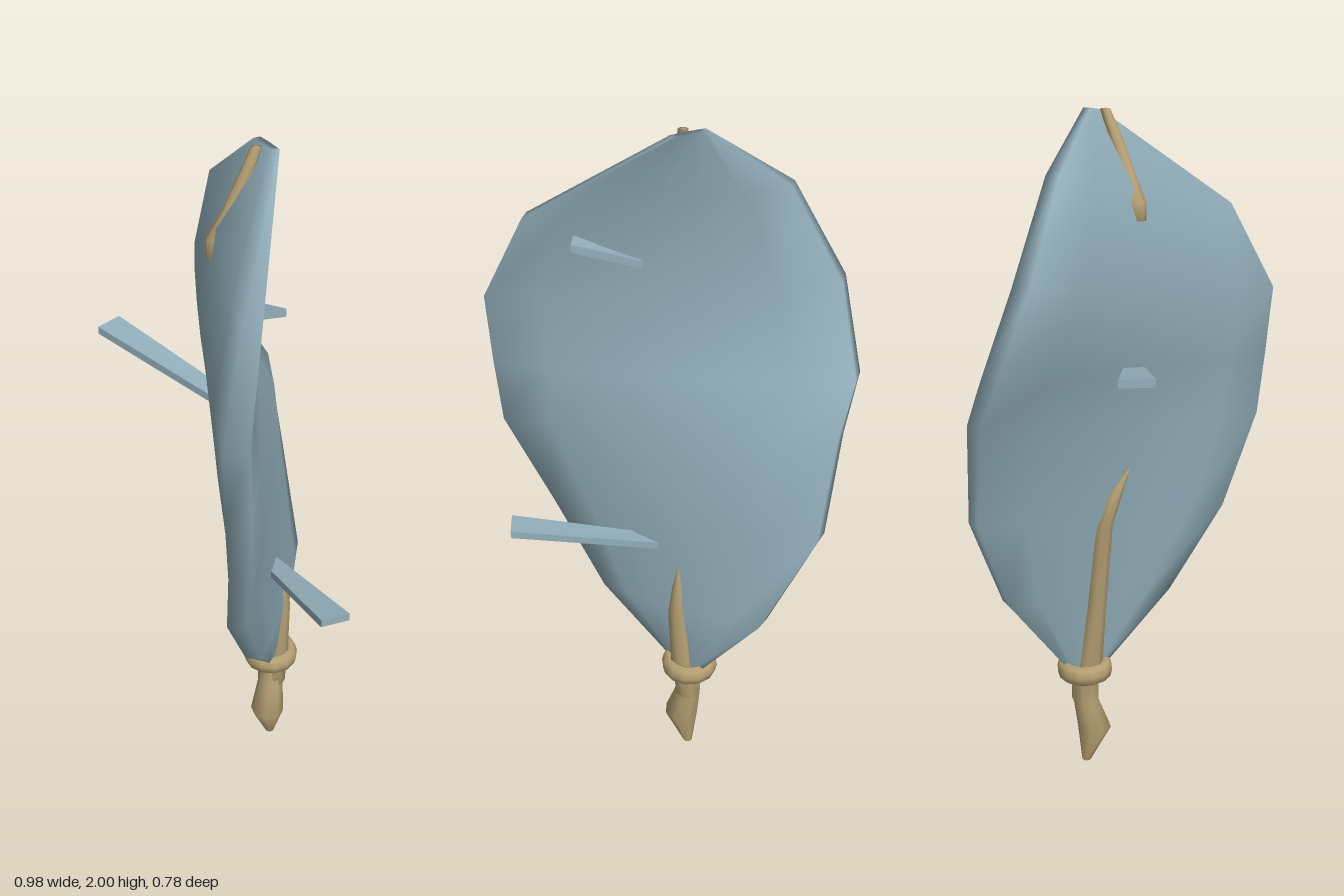
import * as THREE from 'three';

const blue = new THREE.MeshStandardMaterial({ color: 0x93afbb });
blue.name = 'dustyBlue';
const tan = new THREE.MeshStandardMaterial({ color: 0xb8a274 });
tan.name = 'boneTan';

// Twisted blade: each row has a left edge, a right edge and half thicknesses
// at the rim and at the middle of the front and back
const rows = [
  { l: [-0.03, 0.35, -0.18], r: [0.03, 0.34, -0.07], rim: 0.018, front: 0.028, back: 0.026 },
  { l: [-0.15, 0.6, -0.325], r: [0.18, 0.54, 0.1], rim: 0.025, front: 0.043, back: 0.04 },
  { l: [-0.295, 0.9, -0.37], r: [0.285, 0.79, 0.245], rim: 0.028, front: 0.052, back: 0.062 },
  { l: [-0.345, 1.2, -0.345], r: [0.405, 1.06, 0.33], rim: 0.03, front: 0.06, back: 0.072 },
  { l: [-0.42, 1.34, -0.28], r: [0.42, 1.25, 0.345], rim: 0.032, front: 0.058, back: 0.075 },
  { l: [-0.405, 1.59, -0.19], r: [0.43, 1.45, 0.36], rim: 0.032, front: 0.05, back: 0.07 },
  { l: [-0.27, 1.85, -0.135], r: [0.34, 1.71, 0.24], rim: 0.024, front: 0.04, back: 0.055 },
  { l: [-0.05, 2.0, -0.09], r: [0.04, 1.99, -0.08], rim: 0.01, front: 0.012, back: 0.012 },
];
const COLS = 6;

function bladePoint({ l, r, rim, front, back }, u, side) {
  const bulge = (side > 0 ? front : back) - rim;
  const t = side * (rim + bulge * Math.max(0, Math.sin(Math.PI * u)) ** 0.7);
  const dx = r[0] - l[0], dz = r[2] - l[2], len = Math.hypot(dx, dz);
  return [
    l[0] + dx * u - (dz / len) * t,
    l[1] + (r[1] - l[1]) * u,
    l[2] + dz * u + (dx / len) * t,
  ];
}

function buildGeometry(points, index) {
  const g = new THREE.BufferGeometry();
  g.setAttribute('position', new THREE.Float32BufferAttribute(points.flat(), 3));
  g.setIndex(index);
  g.computeVertexNormals();
  return g;
}

// One smooth closed skin: every row is a loop along the front and home along the back
function bladeSkin() {
  const points = [], index = [], n = 2 * (COLS + 1);
  rows.forEach((row, i) => {
    for (let j = 0; j <= COLS; j++) points.push(bladePoint(row, j / COLS, 1));
    for (let j = COLS; j >= 0; j--) points.push(bladePoint(row, j / COLS, -1));
    if (i === rows.length - 1) return;
    for (let k = 0; k < n; k++) {
      const a = i * n + k, b = i * n + ((k + 1) % n);
      index.push(a, b, b + n, a, b + n, a + n);
    }
  });
  // Close the bottom and the top
  const top = (rows.length - 1) * n;
  for (let j = 0; j < COLS; j++) {
    const f = j, g = j + 1, p = n - 1 - j, q = n - 2 - j;
    index.push(f, p, q, f, q, g);
    index.push(top + f, top + g, top + q, top + f, top + q, top + p);
  }
  return buildGeometry(points, index);
}

// Tapering strand through [x, y, z, radius] stations, listed from bottom to top
function strand(stations, sides = 8) {
  const points = [], index = [];
  stations.forEach(([x, y, z, r], i) => {
    for (let k = 0; k < sides; k++) {
      const a = (k / sides) * Math.PI * 2;
      points.push([x + r * Math.cos(a), y, z + r * Math.sin(a)]);
      if (i === stations.length - 1) continue;
      const p = i * sides + k, q = i * sides + ((k + 1) % sides);
      index.push(p, p + sides, q, q, p + sides, q + sides);
    }
  });
  return buildGeometry(points, index);
}

// Thin splinter, wide at the outer end: root and tip are [x, y, z], widths run along z
function splinter(root, tip, rootWidth, tipWidth) {
  const g = new THREE.BoxGeometry(1, 1, 1);
  const p = g.attributes.position;
  for (let i = 0; i < p.count; i++) {
    const outer = p.getX(i) > 0;
    const end = outer ? tip : root;
    const side = p.getZ(i);
    const lean = outer ? -0.025 * Math.sign(tip[0]) * side : 0;
    p.setXYZ(i,
      end[0] + lean,
      end[1] + p.getY(i) * 0.022,
      end[2] + side * (outer ? tipWidth : rootWidth));
  }
  // Splinters reaching toward -x are mirrored, so flip their faces
  if (tip[0] < root[0]) {
    const idx = g.index;
    for (let i = 0; i < idx.count; i += 3) {
      const b = idx.getX(i + 1);
      idx.setX(i + 1, idx.getX(i + 2));
      idx.setX(i + 2, b);
    }
  }
  const flat = g.toNonIndexed();
  flat.computeVertexNormals();
  return flat;
}

export function createModel() {
  const model = new THREE.Group();
  model.name = 'leafBlade';
  const add = (name, geometry, material) => {
    const mesh = new THREE.Mesh(geometry, material);
    mesh.name = name;
    model.add(mesh);
    return mesh;
  };

  add('blade', bladeSkin(), blue);

  // Splinters sticking out of the faces
  add('frontSplinter', splinter([-0.02, 1.291, 0.032], [-0.478, 1.383, 0.115], 0.055, 0.09), blue);
  add('lowerBackSplinter', splinter([0.05, 0.758, -0.052], [0.48, 0.845, 0.062], 0.05, 0.08), blue);
  add('upperBackSplinter', splinter([0.08, 1.615, 0.04], [0.25, 1.67, 0.1], 0.03, 0.06), blue);

  // Handle bud that runs on up the front as a thin vine
  add('handle', strand([
    [0, 0, -0.12, 0.001], [0, 0.005, -0.12, 0.014], [0.013, 0.12, -0.097, 0.053],
    [0, 0.22, -0.12, 0.04], [0, 0.3, -0.12, 0.04], [-0.012, 0.37, -0.1, 0.036],
    [-0.02, 0.55, -0.08, 0.029], [-0.052, 0.83, -0.05, 0.026],
    [-0.042, 0.92, -0.02, 0.021], [-0.02, 1.0, 0.02, 0.002],
  ]), tan);
  add('backSpike', strand([
    [0.005, 0.22, -0.13, 0.001], [0.005, 0.221, -0.13, 0.036], [0.02, 0.36, -0.125, 0.038],
    [0.034, 0.55, -0.124, 0.033], [0.034, 0.64, -0.124, 0.02], [0.034, 0.72, -0.125, 0.002],
  ]), tan);
  add('topSpike', strand([
    [-0.055, 1.71, 0.05, 0.001], [-0.055, 1.712, 0.05, 0.02], [-0.054, 1.76, 0.04, 0.03],
    [-0.032, 1.83, 0.017, 0.02], [-0.012, 1.92, -0.02, 0.02],
    [-0.003, 1.995, -0.05, 0.014], [-0.003, 1.997, -0.05, 0.001],
  ]), tan);

  // Binding ring, taller than it is thick
  const ring = add('bindingRing', new THREE.TorusGeometry(0.066, 0.02, 8, 12), tan);
  ring.rotation.x = Math.PI / 2;
  ring.scale.z = 1.6;
  ring.position.set(-0.003, 0.333, -0.122);

  return model;
}
